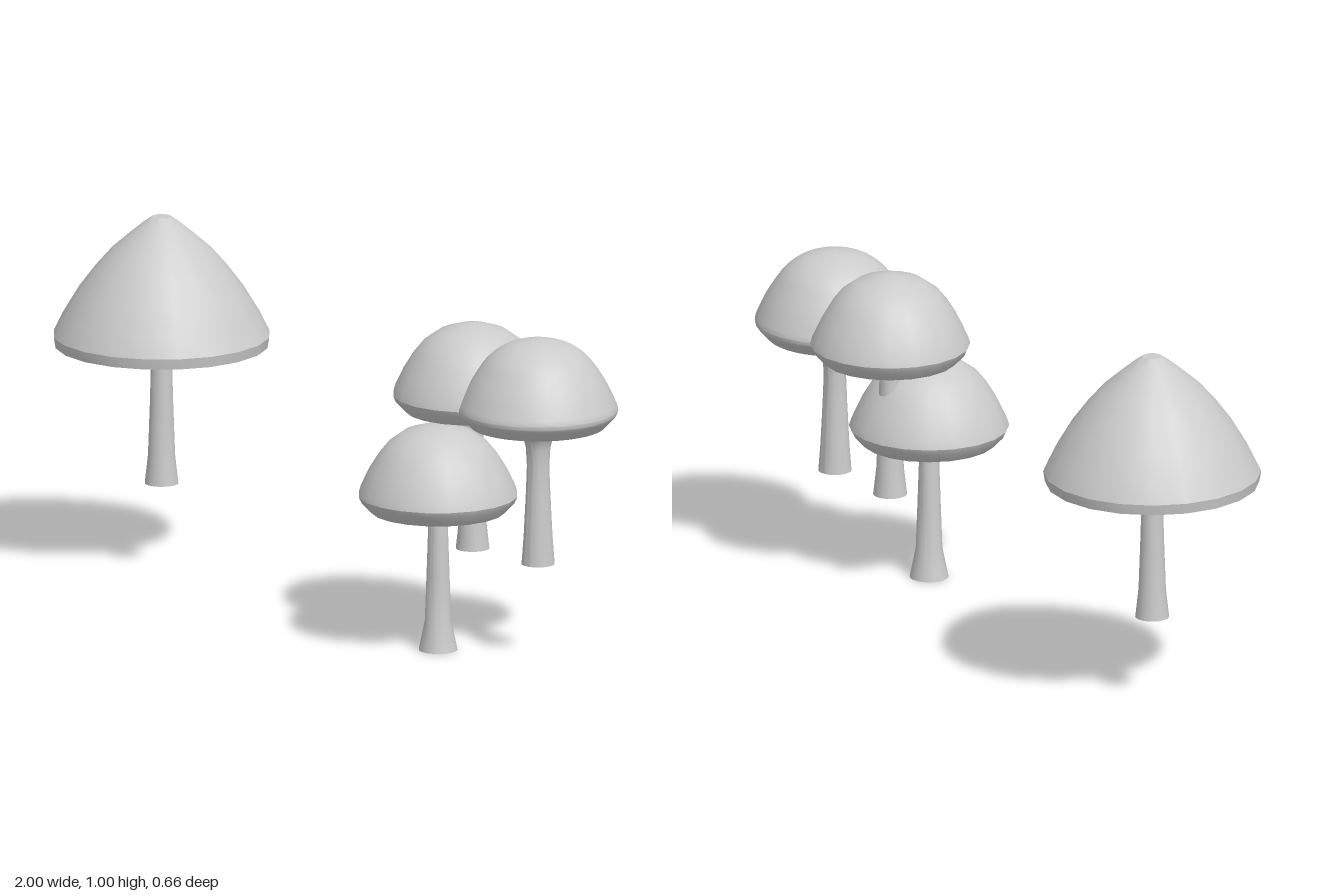
import * as THREE from 'three';
import { toCreasedNormals } from 'three/addons/utils/BufferGeometryUtils.js';

const material = new THREE.MeshStandardMaterial({ color: 0xcccccc, side: THREE.DoubleSide });

// Revolves [radius, height] pairs, listed bottom to top, into a named mesh
function turned(name, profile, segments) {
  const points = profile.map(([r, y]) => new THREE.Vector2(r, y));
  const mesh = new THREE.Mesh(toCreasedNormals(new THREE.LatheGeometry(points, segments), 0.6), material);
  mesh.name = name;
  return mesh;
}

// Cap profiles, measured from the underside
const pointedCap = [[0, 0], [0.297, 0], [0.302, 0.03], [0.275, 0.085], [0.23, 0.16], [0.185, 0.22],
  [0.137, 0.275], [0.085, 0.32], [0.05, 0.349], [0.027, 0.365], [0, 0.365]];
const roundCap = [[0, 0], [0.187, 0], [0.215, 0.03], [0.222, 0.046], [0.216, 0.066], [0.193, 0.115],
  [0.165, 0.16], [0.136, 0.196], [0.094, 0.226], [0.045, 0.242], [0, 0.25]];

// Smooth dome: the same outline drawn as a finer curve
const domeCurve = new THREE.SplineCurve(roundCap.slice(1).map(([r, y]) => new THREE.Vector2(r, y)));
const domeCap = [[0, 0], ...domeCurve.getPoints(28).map((p) => [Math.max(0, p.x), p.y])];

// Stem profiles, measured from the foot; feet are open
const plainStem = [[0.047, 0], [0.038, 0.08], [0.033, 0.22], [0.028, 0.4]];
const footedStem = [[0.054, 0], [0.037, 0.085], [0.032, 0.22], [0.026, 0.4]];
const flaredStem = [[0.046, 0], [0.04, 0.08], [0.034, 0.2], [0.031, 0.28], [0.034, 0.33],
  [0.042, 0.363], [0.06, 0.382], [0.085, 0.395]];

const mushrooms = [
  { name: 'pointedMushroom', x: -0.7, z: -0.027, foot: 0.24, capY: 0.635, cap: pointedCap, stem: plainStem, sides: 20 },
  { name: 'frontMushroom', x: 0.517, z: 0.105, foot: 0, capY: 0.396, cap: roundCap, stem: footedStem, sides: 20 },
  { name: 'backMushroom', x: 0.52, z: -0.027, foot: 0.267, capY: 0.661, cap: roundCap, stem: plainStem, sides: 20 },
  { name: 'leftMushroom', x: 0.777, z: -0.027, foot: 0.267, capY: 0.661, cap: domeCap, stem: flaredStem, sides: 40 },
];

export function createModel() {
  const model = new THREE.Group();
  model.name = 'mushrooms';
  for (const m of mushrooms) {
    const group = new THREE.Group();
    group.name = m.name;
    group.position.set(m.x, 0, m.z);

    const stem = turned('stem', m.stem, m.sides);
    stem.position.y = m.foot;
    const cap = turned('cap', m.cap, m.sides);
    cap.position.y = m.capY;

    group.add(stem, cap);
    model.add(group);
  }
  return model;
}
